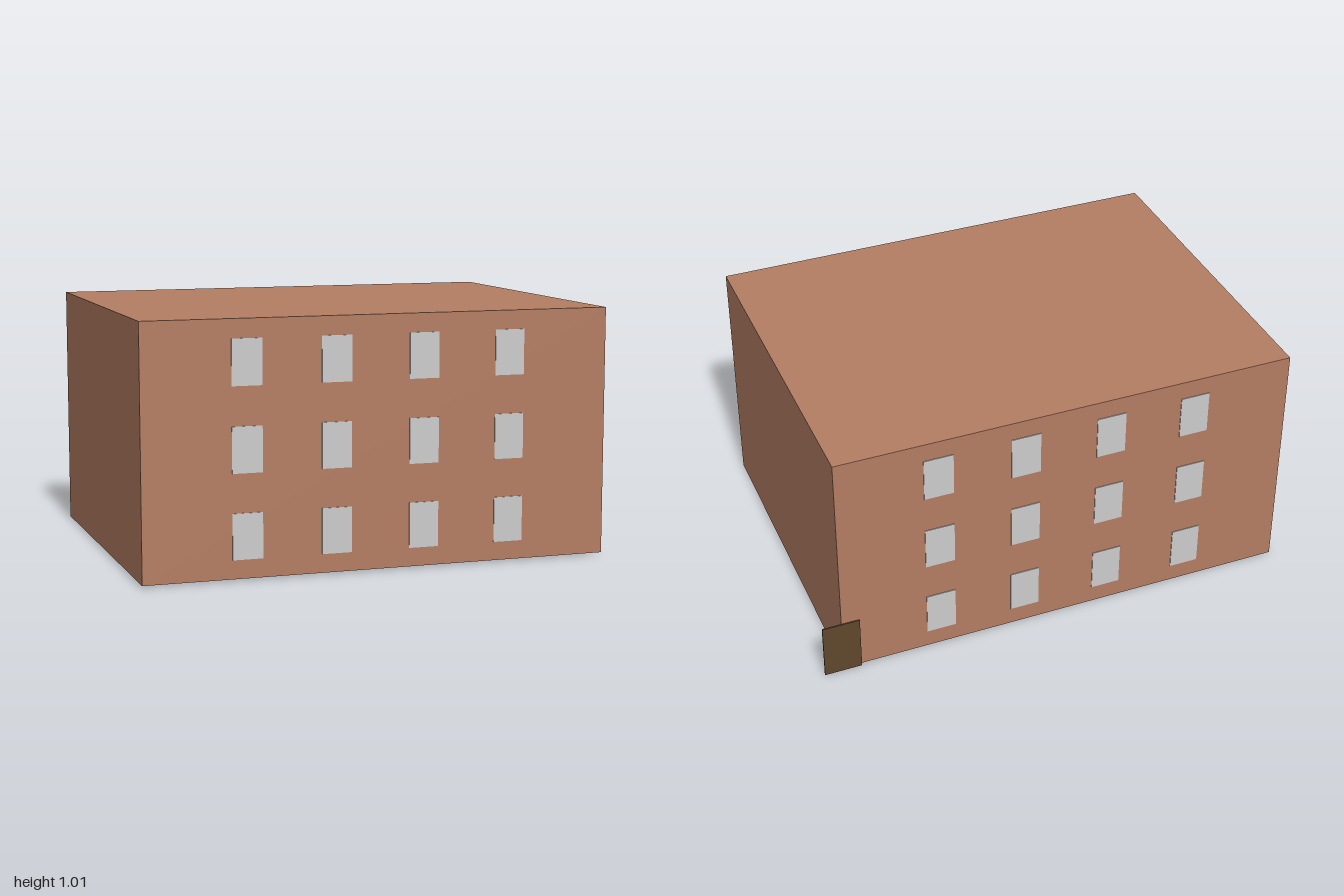
import * as THREE from 'three';

const material = (name, color) => {
  const m = new THREE.MeshStandardMaterial({ color });
  m.name = name;
  return m;
};

export function createModel() {
  const brick = material('brick', 0xb47d63);
  const glass = material('pale glass', 0xcccccc);
  const wood = material('dark wood', 0x60472c);

  const model = new THREE.Group();
  model.name = 'apartmentBlock';

  const addBox = (parent, name, size, position, mat) => {
    const mesh = new THREE.Mesh(new THREE.BoxGeometry(...size), mat);
    mesh.name = name;
    mesh.position.set(...position);
    parent.add(mesh);
  };

  // Plain block with a flat roof
  const depth = 1.439;
  addBox(model, 'building', [1.92, 1.007, depth], [-0.04, 0.5115, 0], brick);

  // Three storeys of four windows on the front and back
  for (const side of [1, -1]) {
    const windows = new THREE.Group();
    windows.name = side > 0 ? 'frontWindows' : 'backWindows';
    for (let row = 0; row < 3; row++) {
      for (let col = 0; col < 4; col++) {
        const x = -0.583 + col * 0.3615;
        const y = 0.174 + row * 0.337;
        addBox(windows, 'window', [0.122, 0.182, 0.006], [x, y, side * depth / 2], glass);
      }
    }
    model.add(windows);
  }

  // Door panel overhanging the back left corner
  addBox(model, 'door', [0.155, 0.24, 0.006], [0.9225, 0.12, -depth / 2 - 0.002], wood);

  return model;
}
